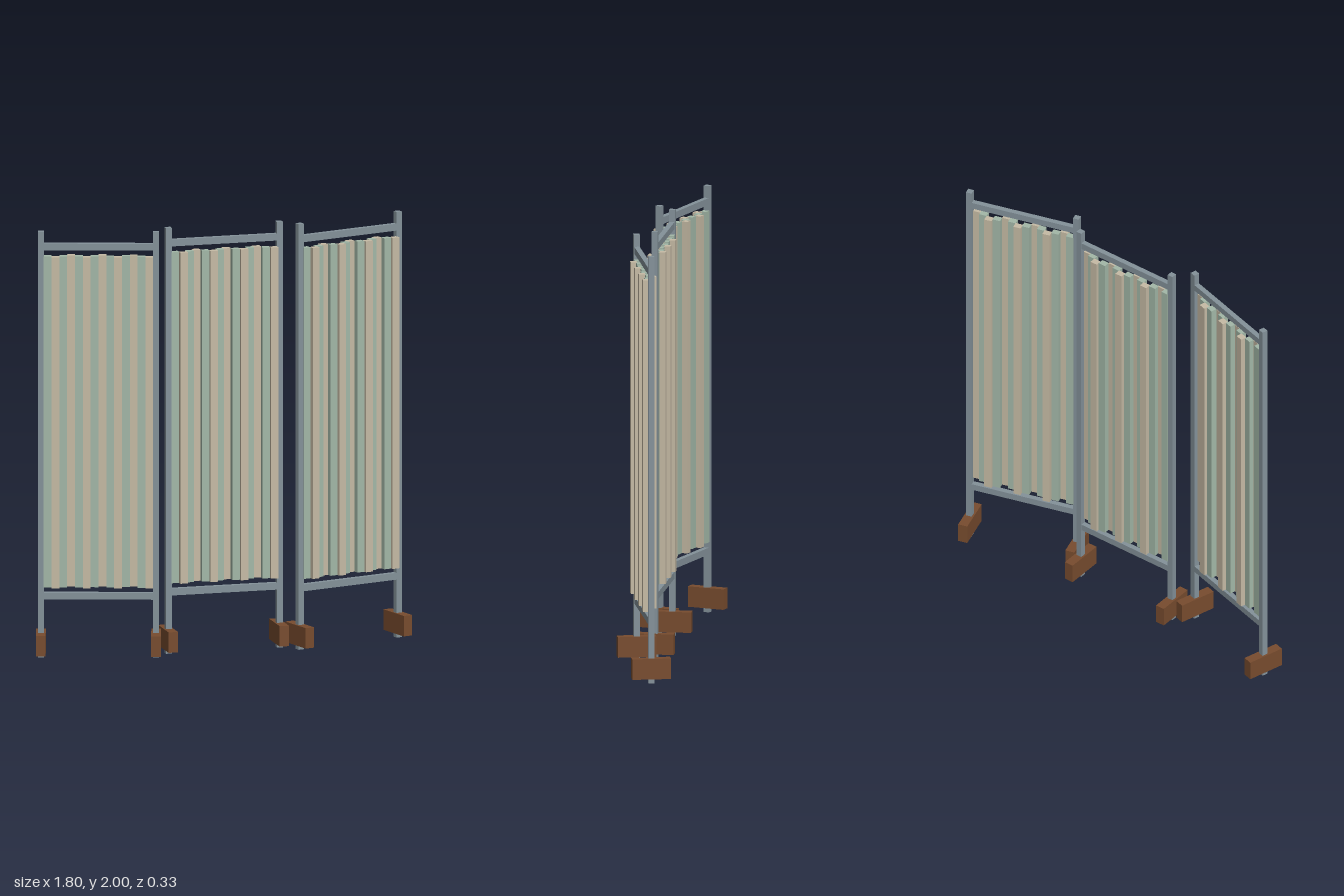
import * as THREE from 'three';

const mat = (name, color) => {
  const m = new THREE.MeshStandardMaterial({ color });
  m.name = name;
  return m;
};

const steel = mat('grey steel', 0x84929a);
const wood = mat('brown wood', 0x784c2e);
const green = mat('pale green fabric', 0xa3b8a8);
const beige = mat('beige fabric', 0xc6bba5);

const HALF = 0.265; // post distance from the panel centre
const SLATS = 14;
const PITCH = 0.036;

function box(parent, name, material, size, pos) {
  const mesh = new THREE.Mesh(new THREE.BoxGeometry(...size), material);
  mesh.name = name;
  mesh.position.set(...pos);
  parent.add(mesh);
}

function createPanel(name, x, angle) {
  const panel = new THREE.Group();
  panel.name = name;
  panel.position.x = x;
  panel.rotation.y = angle;

  // Posts standing through the wooden feet
  for (const side of [-1, 1]) {
    const label = side < 0 ? 'right' : 'left';
    box(panel, label + 'Post', steel, [0.028, 2, 0.028], [side * HALF, 1, 0]);
    box(panel, label + 'Foot', wood, [0.045, 0.096, 0.18], [side * HALF, 0.068, 0]);
  }

  // Top and bottom rails
  box(panel, 'topRail', steel, [2 * HALF, 0.032, 0.025], [0, 1.928, 0]);
  box(panel, 'bottomRail', steel, [2 * HALF, 0.032, 0.025], [0, 0.288, 0]);

  // Pleated curtain: strips in two colours swaying back and forth
  const curtain = new THREE.Group();
  curtain.name = 'curtain';
  for (let i = 0; i < SLATS; i++) {
    const px = (i - (SLATS - 1) / 2) * PITCH;
    const pz = 0.022 * Math.sin(i * 1.6);
    box(curtain, 'pleat' + (i + 1), i % 2 ? beige : green, [PITCH, 1.555, 0.03], [px, 1.1075, pz]);
  }
  panel.add(curtain);
  return panel;
}

export function createModel() {
  const model = new THREE.Group();
  model.name = 'foldingScreen';
  model.add(
    createPanel('rightPanel', -0.5975, -0.28),
    createPanel('centrePanel', 0, 0),
    createPanel('leftPanel', 0.5975, 0.28)
  );
  return model;
}
